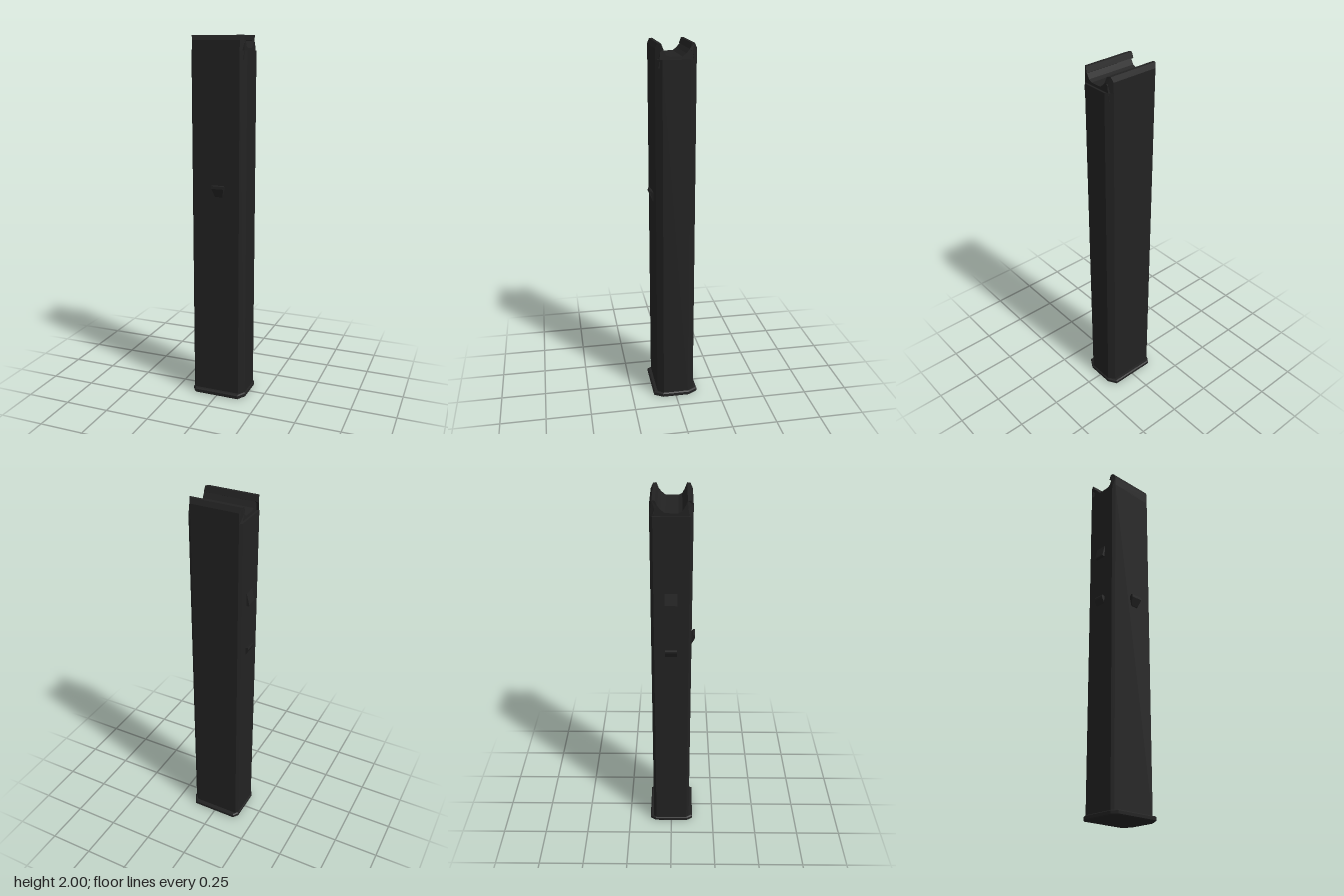
import * as THREE from 'three';

const darkSteel = new THREE.MeshStandardMaterial({ color: 0x222222 });
darkSteel.name = 'darkSteel';

// Shape from a list of [x, y] points
const polygon = (pts) => new THREE.Shape(pts.map(([x, y]) => new THREE.Vector2(x, y)));

// Octagonal plan: narrow chamfers at -x, wide chamfers at +x
const plan = (x0, x0c, x1c, x1, zBack, zFront, z) => [
  [x0, -zBack], [x0c, -z], [x1c, -z], [x1, -zFront],
  [x1, zFront], [x1c, z], [x0c, z], [x0, zBack],
];

// Extrude a plan upward, starting at y
function extrudeUp(shape, y, height, bevel = 0) {
  const geo = new THREE.ExtrudeGeometry(shape, {
    depth: height - 2 * bevel, bevelEnabled: bevel > 0, bevelSegments: 1,
    bevelSize: bevel, bevelThickness: bevel, bevelOffset: -bevel,
  });
  return geo.rotateX(-Math.PI / 2).translate(0, y + bevel, 0);
}

// Extrude a [z, y] profile along x
function extrudeAlongX(profile, x0, x1) {
  const geo = new THREE.ExtrudeGeometry(polygon(profile.map(([z, y]) => [-z, y])),
    { depth: x1 - x0, bevelEnabled: false });
  return geo.rotateY(Math.PI / 2).translate(x0, 0, 0);
}

// x on the body's end chamfers for a given |z|
const chamferEnd = (z, positive) => {
  const t = THREE.MathUtils.clamp((z - (positive ? 0.072 : 0.09)) / (positive ? 0.033 : 0.015), 0, 1);
  return positive ? THREE.MathUtils.lerp(0.145, 0.125, t) : THREE.MathUtils.lerp(-0.147, -0.135, t);
};

export function createModel() {
  const group = new THREE.Group();
  group.name = 'magazine';
  const add = (name, geometry) => {
    const mesh = new THREE.Mesh(geometry, darkSteel);
    mesh.name = name;
    group.add(mesh);
    return mesh;
  };

  // Hollow sheet-metal body
  const bodyShape = polygon(plan(-0.147, -0.135, 0.125, 0.154, 0.09, 0.072, 0.105));
  bodyShape.holes.push(polygon(plan(-0.136, -0.126, 0.119, 0.144, 0.081, 0.067, 0.095)));
  add('body', extrudeUp(bodyShape, 0.01, 1.912));

  // Floor plate with bevelled rim
  add('floorPlate', extrudeUp(
    polygon(plan(-0.151, -0.13, 0.13, 0.16, 0.095, 0.076, 0.126)), 0, 0.027, 0.006));

  // Feed lips, folded inward and trimmed to the end chamfers
  const lip = [[0.105, 1.915], [0.105, 1.975], [0.093, 2], [0.077, 2],
    [0.066, 1.972], [0.08, 1.962], [0.092, 1.915]];
  for (const side of [1, -1]) {
    const geo = extrudeAlongX(lip.map(([z, y]) => [z * side, y]), -1, 1);
    const p = geo.attributes.position;
    for (let i = 0; i < p.count; i++) {
      p.setX(i, chamferEnd(Math.abs(p.getZ(i)), p.getX(i) > 0));
    }
    geo.computeVertexNormals();
    add(side > 0 ? 'frontFeedLip' : 'backFeedLip', geo);
  }

  // Saddle-shaped follower between the lips
  add('follower', extrudeAlongX([
    [-0.09, 1.88], [0.09, 1.88], [0.081, 1.96], [0.067, 1.972], [0.052, 1.945], [0.033, 1.936],
    [-0.03, 1.936], [-0.05, 1.952], [-0.067, 1.972], [-0.081, 1.96],
  ], -0.134, 0.143));

  // Pressed stop tabs on the narrow -x side: [x, y] wedge profiles
  const sideTab = (name, profile) => {
    const geo = new THREE.ExtrudeGeometry(polygon(profile), { depth: 0.063, bevelEnabled: false });
    add(name, geo.translate(0, 0, -0.033));
  };
  sideTab('upperSideTab', [[-0.14, 1.455], [-0.14, 1.53], [-0.148, 1.525], [-0.163, 1.465], [-0.163, 1.458]]);
  sideTab('lowerSideTab', [[-0.14, 1.155], [-0.14, 1.2], [-0.16, 1.207], [-0.163, 1.2], [-0.163, 1.19], [-0.148, 1.16]]);

  // Front stop tab, tapering downward
  const tab = extrudeAlongX([[0.1, 1.155], [0.108, 1.163], [0.127, 1.207], [0.126, 1.222],
    [0.118, 1.225], [0.1, 1.205]], -0.025, 0.045);
  const p = tab.attributes.position;
  for (let i = 0; i < p.count; i++) {
    const s = THREE.MathUtils.lerp(0.6, 1, THREE.MathUtils.clamp((p.getY(i) - 1.16) / 0.05, 0, 1));
    p.setX(i, 0.01 + (p.getX(i) - 0.01) * s);
  }
  tab.computeVertexNormals();
  add('frontTab', tab);

  return group;
}
